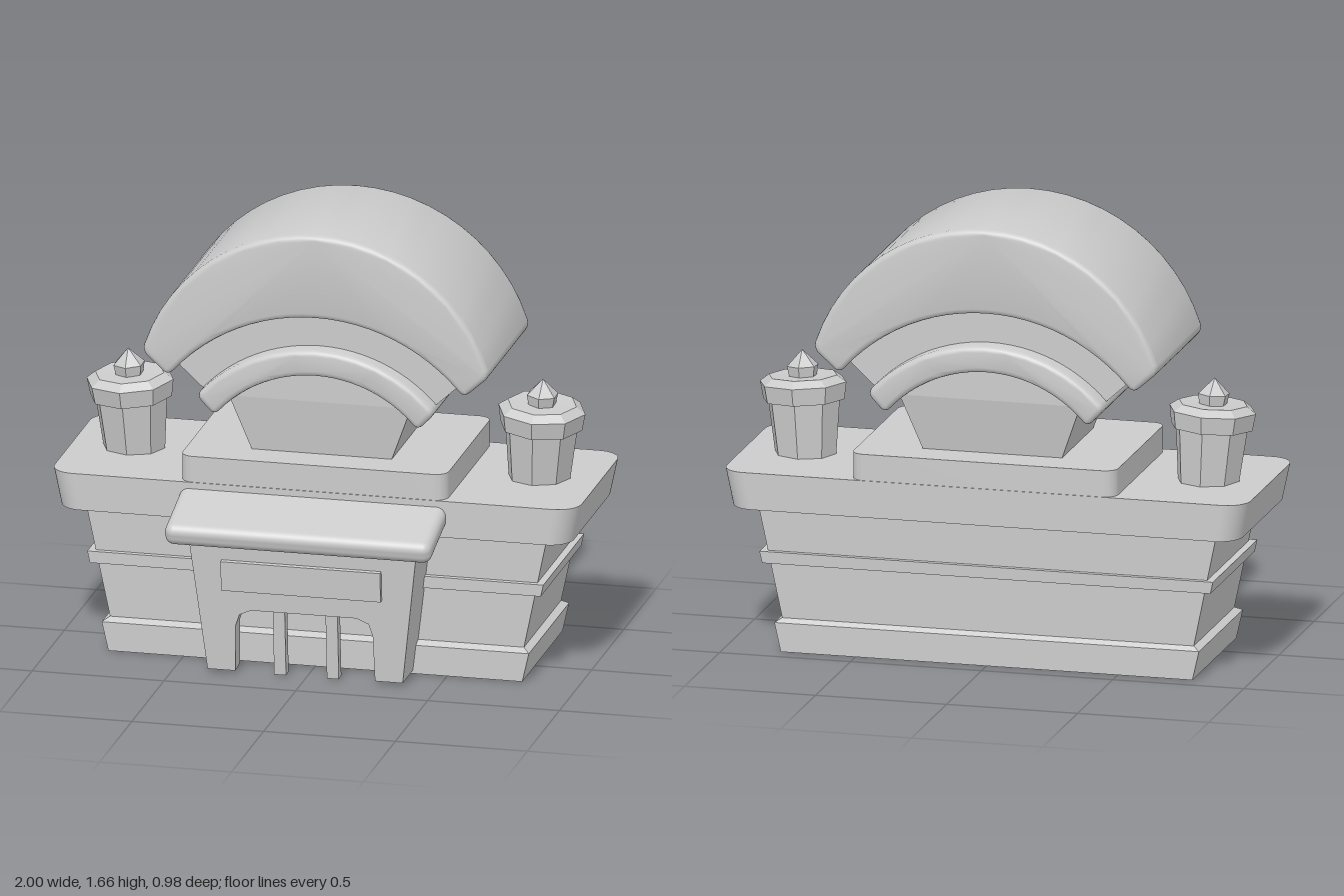
import * as THREE from 'three';
import { toCreasedNormals } from 'three/addons/utils/BufferGeometryUtils.js';
import { RoundedBoxGeometry } from 'three/addons/geometries/RoundedBoxGeometry.js';

const material = new THREE.MeshStandardMaterial({ color: 0xcccccc, side: THREE.DoubleSide });
const flatMaterial = new THREE.MeshStandardMaterial({ color: 0xcccccc, side: THREE.DoubleSide, flatShading: true });

function add(parent, name, geometry, mat = material) {
  const mesh = new THREE.Mesh(geometry, mat);
  mesh.name = name;
  parent.add(mesh);
  return mesh;
}

// Stacks rectangular sections [y, x0, x1, zBack, zFront], open at the bottom
function loft(sections, capTop = false) {
  const pos = [];
  const rings = sections.map(([y, x0, x1, z0, z1]) => [[x0, y, z1], [x1, y, z1], [x1, y, z0], [x0, y, z0]]);
  const quad = (a, b, c, d) => pos.push(...a, ...b, ...c, ...a, ...c, ...d);
  for (let i = 0; i < rings.length - 1; i++) {
    for (let k = 0; k < 4; k++) {
      const n = (k + 1) % 4;
      quad(rings[i][k], rings[i][n], rings[i + 1][n], rings[i + 1][k]);
    }
  }
  if (capTop) quad(...rings[rings.length - 1]);
  const g = new THREE.BufferGeometry();
  g.setAttribute('position', new THREE.Float32BufferAttribute(pos, 3));
  g.computeVertexNormals();
  return g;
}

// Slab with rounded plan corners, narrowing in x toward its underside
function slab(halfX, zBack, zFront, y0, y1, r, bottomScale) {
  const s = new THREE.Shape();
  s.absarc(halfX - r, -zBack - r, r, 0, Math.PI / 2);
  s.absarc(-halfX + r, -zBack - r, r, Math.PI / 2, Math.PI);
  s.absarc(-halfX + r, -zFront + r, r, Math.PI, Math.PI * 1.5);
  s.absarc(halfX - r, -zFront + r, r, Math.PI * 1.5, Math.PI * 2);
  const g = new THREE.ExtrudeGeometry(s, { depth: y1 - y0, bevelEnabled: false, curveSegments: 5 });
  g.rotateX(-Math.PI / 2).translate(0, y0, 0);
  const p = g.attributes.position;
  for (let i = 0; i < p.count; i++) {
    if (p.getY(i) < (y0 + y1) / 2) p.setX(i, p.getX(i) * bottomScale);
  }
  return toCreasedNormals(g, 0.6);
}

// Arched band: outer and inner arcs given as [radius, centreY, half angle]
function arch(outer, inner, zBack, zFront, bevel) {
  const at = ([r, cy], a) => new THREE.Vector2(Math.sin(a) * r, cy + Math.cos(a) * r);
  const c = 0.03;
  const ao = outer[2] - c / outer[0], ai = inner[2] - c / inner[0];
  const s = new THREE.Shape();
  s.absarc(0, outer[1], outer[0], Math.PI / 2 - ao, Math.PI / 2 + ao, false);
  const tipOut = at(outer, -outer[2]), tipIn = at(inner, -inner[2]);
  const t = c / tipOut.distanceTo(tipIn);
  const e1 = tipOut.clone().lerp(tipIn, t), e2 = tipIn.clone().lerp(tipOut, t), i1 = at(inner, -ai);
  s.quadraticCurveTo(tipOut.x, tipOut.y, e1.x, e1.y);
  s.lineTo(e2.x, e2.y);
  s.quadraticCurveTo(tipIn.x, tipIn.y, i1.x, i1.y);
  s.absarc(0, inner[1], inner[0], Math.PI / 2 + ai, Math.PI / 2 - ai, true);
  s.quadraticCurveTo(-tipIn.x, tipIn.y, -e2.x, e2.y);
  s.lineTo(-e1.x, e1.y);
  const start = at(outer, ao);
  s.quadraticCurveTo(-tipOut.x, tipOut.y, start.x, start.y);
  const g = new THREE.ExtrudeGeometry(s, {
    depth: zFront - zBack - 2 * bevel, curveSegments: 12, bevelEnabled: bevel > 0,
    bevelSize: bevel, bevelOffset: -bevel, bevelThickness: bevel, bevelSegments: 3,
  });
  g.translate(0, 0, zBack + bevel);
  return toCreasedNormals(g, 0.7);
}

function makeUrn() {
  const urn = new THREE.Group();
  urn.name = 'urn';
  const turned = (name, profile, sides) =>
    add(urn, name, new THREE.LatheGeometry(profile.map(([x, y]) => new THREE.Vector2(x, y)), sides), flatMaterial);
  turned('urnBody', [[0.115, -0.02], [0.14, 0.23]], 8);
  turned('urnCollar', [[0.12, 0.2], [0.155, 0.2], [0.165, 0.265], [0.13, 0.29], [0, 0.285]], 8);
  turned('urnFinial', [[0.05, 0.27], [0.06, 0.325], [0, 0.385]], 6);
  return urn;
}

export function createModel() {
  const model = new THREE.Group();
  model.name = 'building';

  // Hollow flaring body with two ledges
  add(model, 'baseBand', loft([
    [0, -0.785, 0.785, -0.43, 0.197], [0.11, -0.81, 0.81, -0.43, 0.197], [0.125, -0.785, 0.785, -0.41, 0.17],
  ]));
  add(model, 'walls', loft([
    [0.125, -0.785, 0.785, -0.41, 0.17], [0.56, -0.875, 0.875, -0.42, 0.178],
  ]));
  add(model, 'middleBand', loft([
    [0.335, -0.825, 0.825, -0.41, 0.17], [0.335, -0.855, 0.855, -0.435, 0.197],
    [0.38, -0.865, 0.865, -0.437, 0.197], [0.38, -0.835, 0.835, -0.41, 0.17],
  ]));

  // Roof slabs
  add(model, 'roofSlab', slab(1, -0.49, 0.24, 0.55, 0.69, 0.09, 0.97));
  add(model, 'upperSlab', slab(0.505, -0.487, 0.237, 0.68, 0.79, 0.05, 1));

  // Arched crown on a flaring pedestal
  add(model, 'pedestal', loft([
    [0.78, -0.262, 0.262, -0.345, 0.095], [1.0, -0.345, 0.345, -0.385, 0.125], [1.16, -0.15, 0.15, -0.385, 0.125],
  ], true));
  add(model, 'lowerArch', arch([0.6, 0.62, 0.86], [0.5, 0.62, 0.88], -0.45, 0.2, 0.02));
  add(model, 'recessedArch', arch([0.74, 0.62, 0.83], [0.58, 0.62, 0.83], -0.375, 0.13, 0));
  add(model, 'upperArch', arch([0.687, 0.978, 1.29], [0.724, 0.62, 0.884], -0.45, 0.2, 0.02));

  // Porch front with a chamfered doorway, leaning outward
  const front = new THREE.Group();
  front.name = 'porchFront';
  front.position.set(0, 0.012, 0.355);
  front.rotation.x = 0.083;
  model.add(front);
  const face = new THREE.Shape([
    [-0.37, 0], [-0.265, 0], [-0.26, 0.18], [-0.245, 0.225], [-0.2, 0.245], [0.2, 0.245], [0.245, 0.225],
    [0.26, 0.18], [0.265, 0], [0.37, 0], [0.438, 0.57], [-0.438, 0.57],
  ].map(([x, y]) => new THREE.Vector2(x, y)));
  const faceGeometry = new THREE.ExtrudeGeometry(face, { depth: 0.07, bevelEnabled: false });
  add(front, 'porchFace', faceGeometry.translate(0, 0, -0.07));
  add(front, 'signPanel', new THREE.BoxGeometry(0.605, 0.115, 0.04)).position.set(-0.005, 0.382, 0);
  for (const side of [-1, 1]) {
    add(front, 'doorPost', new THREE.BoxGeometry(0.045, 0.27, 0.04)).position.set(side * 0.1, 0.123, -0.04);
    // Porch side walls
    const xs = (a, b) => (side > 0 ? [a, b] : [-b, -a]);
    add(model, 'porchSide', loft([
      [0.012, ...xs(0.3, 0.37), 0.16, 0.354], [0.58, ...xs(0.37, 0.438), 0.16, 0.4],
    ], true));
  }

  // Sloping rounded awning over the porch
  const awning = add(model, 'awning', new RoundedBoxGeometry(1.01, 0.085, 0.32, 4, 0.035));
  awning.position.set(0, 0.595, 0.335);
  awning.rotation.x = 0.27;

  // Leaning urns on the roof ends
  for (const side of [-1, 1]) {
    const urn = makeUrn();
    urn.position.set(side * 0.768, 0.69, -0.138);
    urn.rotation.set(0.05, 0, -side * 0.05);
    model.add(urn);
  }
  return model;
}
